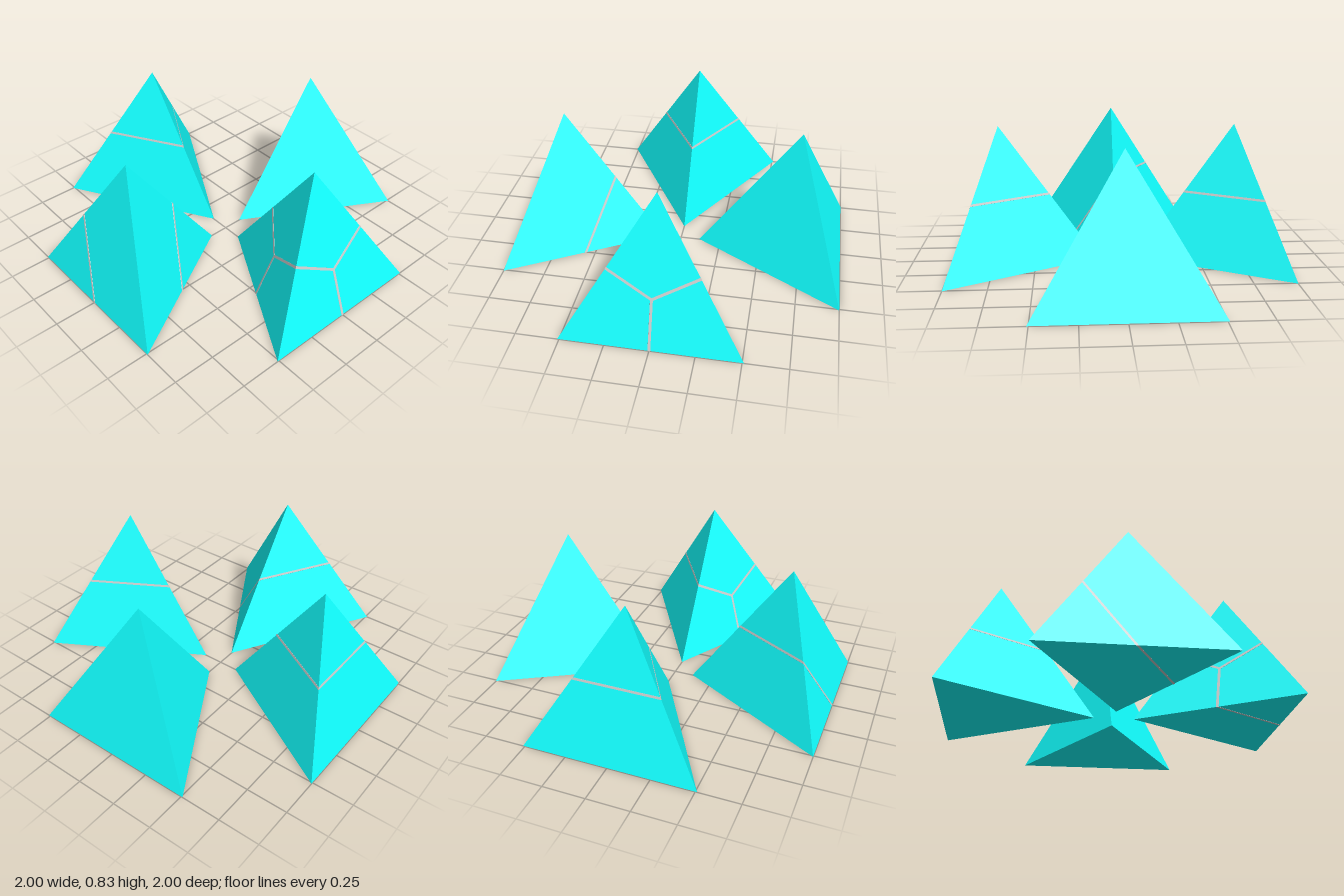
import * as THREE from 'three';
import { ConvexGeometry } from 'three/addons/geometries/ConvexGeometry.js';

const EDGE = 1.02;
const HEIGHT = EDGE * Math.sqrt(2 / 3);
const INRADIUS = EDGE / (2 * Math.sqrt(3));

// Corners of a regular tetrahedron: A, B on the outer base edge, C inward, P the apex
const corners = {
  A: new THREE.Vector3(-EDGE / 2, 0, 1),
  B: new THREE.Vector3(EDGE / 2, 0, 1),
  C: new THREE.Vector3(0, 0, 1 - 3 * INRADIUS),
  P: new THREE.Vector3(0, HEIGHT, 1 - INRADIUS),
};
const centre = new THREE.Vector3(0, HEIGHT / 4, 1 - INRADIUS);

const teal = new THREE.MeshStandardMaterial({ color: 0x11ffff, flatShading: true });
const grey = new THREE.MeshStandardMaterial({ color: 0xcccccc, flatShading: true });

// Each name is the average of its corners; the sheet is thickened from its first corner towards its last
function sheetGeometry(names) {
  const points = [];
  for (const name of names) {
    const middle = new THREE.Vector3();
    for (const c of name) middle.addScaledVector(corners[c], 1 / name.length);
    const across = corners[name[0]].clone().sub(corners[name.at(-1)]);
    for (const t of [-0.0075, 0.0075]) {
      const p = middle.clone().addScaledVector(across, t);
      points.push(p.sub(centre).multiplyScalar(1.006).add(centre)); // stands just proud of the faces
    }
  }
  return new ConvexGeometry(points);
}

export function createModel() {
  const model = new THREE.Group();
  const solid = new ConvexGeometry(Object.values(corners));

  // The four ways a tetrahedron is divided: not at all, one corner off, two and two, three regions
  const cells = [
    { name: 'wholeTetrahedron', turn: Math.PI / 2, sheets: [] },
    { name: 'cornerCutTetrahedron', turn: Math.PI, sheets: [['PA', 'PB', 'PC']] },
    { name: 'halvedTetrahedron', turn: -Math.PI / 2, sheets: [['CP', 'CB', 'AB', 'AP']] },
    {
      name: 'threeWayTetrahedron',
      turn: 0,
      sheets: [
        ['AP', 'ABP', 'ACP'],
        ['AB', 'AC', 'APC', 'APB'],
        ['PB', 'PC', 'PAC', 'PAB'],
      ],
    },
  ];

  for (const { name, turn, sheets } of cells) {
    const cell = new THREE.Group();
    cell.name = name;
    cell.rotation.y = turn;

    const body = new THREE.Mesh(solid, teal);
    body.name = 'body';
    cell.add(body);

    // Thin dividing sheets
    for (const names of sheets) {
      const sheet = new THREE.Mesh(sheetGeometry(names), grey);
      sheet.name = 'dividingSheet';
      cell.add(sheet);
    }
    model.add(cell);
  }
  return model;
}
